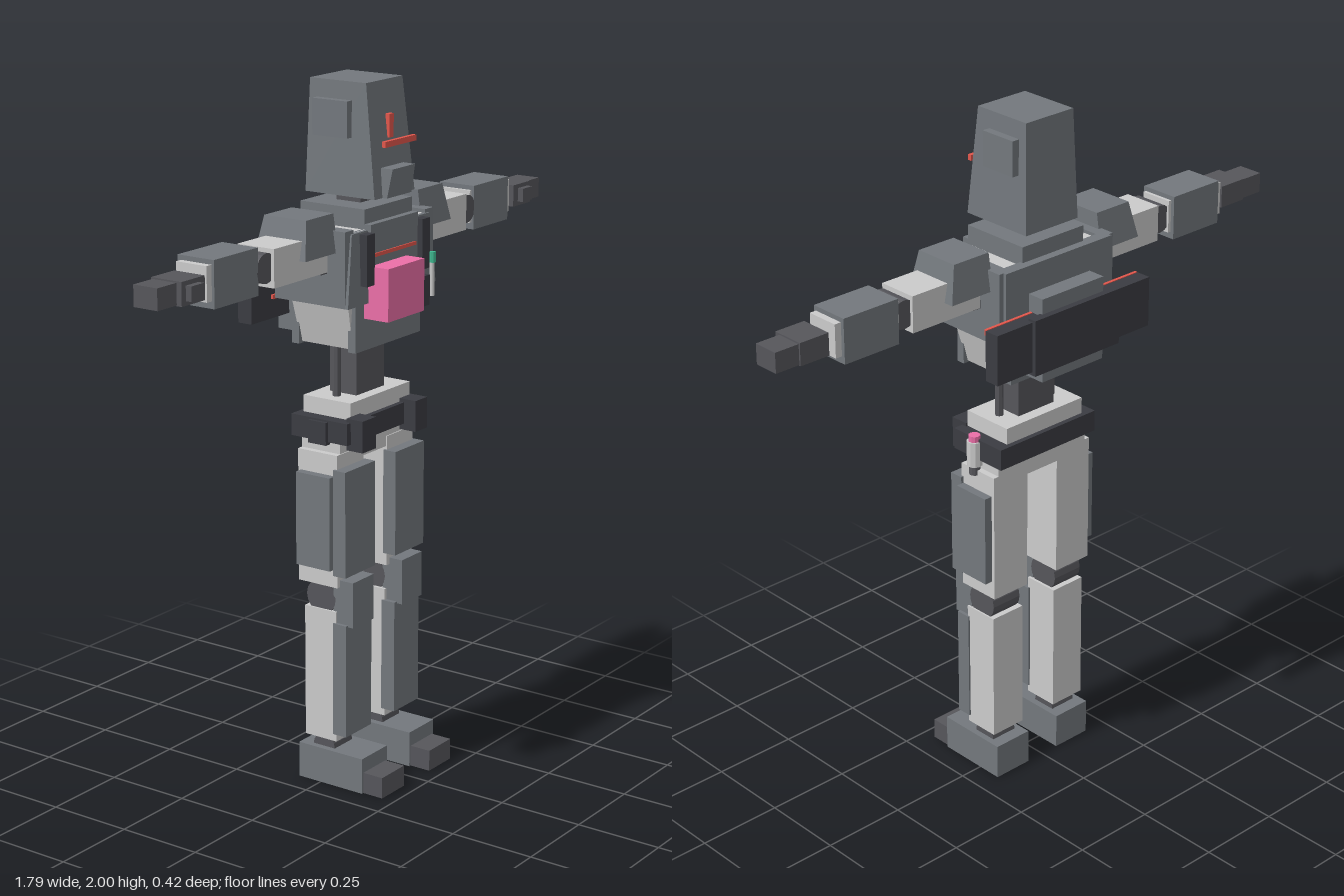
import * as THREE from 'three';

const mat = (color) => new THREE.MeshStandardMaterial({ color, flatShading: true });
const LIGHT = mat(0xcccccc), PLATE = mat(0x73787d), DARK = mat(0x56565b), BLACK = mat(0x3b3c42);
const RED = mat(0xe2574c), PINK = mat(0xec6fa8), GREEN = mat(0x3fb890);

export function createModel() {
  const model = new THREE.Group();
  model.name = 'robot';

  const add = (parent, name, geometry, material) => {
    const mesh = new THREE.Mesh(geometry, material);
    mesh.name = name;
    parent.add(mesh);
    return mesh;
  };

  // Box given by its limits on each axis
  const box = (parent, name, material, [x0, x1], [y0, y1], [z0, z1]) => {
    const g = new THREE.BoxGeometry(x1 - x0, y1 - y0, z1 - z0);
    g.translate((x0 + x1) / 2, (y0 + y1) / 2, (z0 + z1) / 2);
    return add(parent, name, g, material);
  };

  // Box whose top has its own x and z limits
  const taper = (parent, name, material, xb, xt, [y0, y1], zb, zt) => {
    const g = new THREE.BoxGeometry(2, 2, 2);
    const p = g.attributes.position;
    for (let i = 0; i < p.count; i++) {
      const top = p.getY(i) > 0;
      const x = (top ? xt : xb)[p.getX(i) > 0 ? 1 : 0];
      const z = (top ? zt : zb)[p.getZ(i) > 0 ? 1 : 0];
      p.setXYZ(i, x, top ? y1 : y0, z);
    }
    g.computeVertexNormals();
    return add(parent, name, g, material);
  };

  // Cylinder along the named axis
  const rod = (parent, name, material, r, length, axis, [x, y, z], sides = 16) => {
    const g = new THREE.CylinderGeometry(r, r, length, sides);
    if (axis === 'x') g.rotateZ(Math.PI / 2);
    if (axis === 'z') g.rotateX(Math.PI / 2);
    g.translate(x, y, z);
    return add(parent, name, g, material);
  };

  const group = (name) => {
    const g = new THREE.Group();
    g.name = name;
    model.add(g);
    return g;
  };

  // Limits of a part on side s, measured outward from the centre
  const out = (s, a, b) => (s > 0 ? [a, b] : [-b, -a]);

  // Head
  const head = group('head');
  taper(head, 'helmet', PLATE, [-0.095, 0.095], [-0.085, 0.085], [1.69, 2], [-0.105, 0.125], [-0.095, 0.09]);
  taper(head, 'mouthGuard', PLATE, [-0.058, 0.058], [-0.053, 0.053], [1.69, 1.77], [0.08, 0.14], [0.08, 0.155]);
  box(head, 'visor', RED, [-0.073, 0.073], [1.83, 1.846], [0.133, 0.145]);
  box(head, 'browStripe', RED, [-0.01, 0.01], [1.846, 1.91], [0.09, 0.114]);
  for (const s of [-1, 1]) box(head, 'earPanel', PLATE, out(s, 0.075, 0.11), [1.85, 1.95], [-0.07, 0.045]);
  box(head, 'neck', DARK, [-0.04, 0.04], [1.64, 1.7], [-0.04, 0.04]);

  // Chest
  const torso = group('torso');
  box(torso, 'chestCore', LIGHT, [-0.18, 0.18], [1.41, 1.61], [-0.115, 0.105]);
  taper(torso, 'ribs', LIGHT, [-0.14, 0.14], [-0.175, 0.175], [1.28, 1.41], [-0.09, 0.085], [-0.095, 0.095]);
  taper(torso, 'chestPlate', PLATE, [-0.21, 0.21], [-0.185, 0.185], [1.41, 1.61], [0.095, 0.12], [0.095, 0.115]);
  box(torso, 'backPlate', PLATE, [-0.195, 0.195], [1.41, 1.62], [-0.135, -0.1]);
  box(torso, 'bellyPlate', PLATE, [-0.155, 0.155], [1.275, 1.41], [0.08, 0.105]);
  box(torso, 'lowerBackPlate', PLATE, [-0.155, 0.155], [1.275, 1.41], [-0.11, -0.085]);
  box(torso, 'collar', PLATE, [-0.112, 0.112], [1.59, 1.665], [-0.11, 0.105]);
  box(torso, 'breastPlate', PLATE, [-0.112, 0.112], [1.46, 1.625], [0.1, 0.125]);
  box(torso, 'chestStripe', RED, [-0.1, 0.1], [1.535, 1.545], [0.12, 0.129]);
  for (const s of [-1, 1]) {
    box(torso, 'sidePlate', PLATE, out(s, 0.17, 0.21), [1.41, 1.62], [-0.125, 0.11]);
    box(torso, 'strap', BLACK, out(s, 0.113, 0.15), [1.463, 1.605], [0.1, 0.14]);
  }

  // Chest gear
  box(torso, 'chestPack', PINK, [-0.115, 0.057], [1.365, 1.512], [0.1, 0.185]);
  box(torso, 'chestPouch', BLACK, [0.058, 0.107], [1.37, 1.455], [0.1, 0.17]);
  rod(torso, 'lightStick', LIGHT, 0.007, 0.1, 'y', [0.147, 1.435, 0.15], 8);
  rod(torso, 'stickTip', GREEN, 0.009, 0.03, 'y', [0.147, 1.495, 0.152], 8);

  // Backpack
  const pack = group('backpack');
  box(pack, 'packBody', PLATE, [-0.113, 0.113], [1.297, 1.54], [-0.188, -0.12]);
  box(pack, 'packWing', BLACK, [-0.283, 0.283], [1.345, 1.49], [-0.196, -0.15]);
  box(pack, 'packCover', BLACK, [-0.157, 0.157], [1.335, 1.497], [-0.207, -0.18]);
  for (const s of [-1, 1]) {
    box(pack, 'wingStripe', RED, out(s, 0.115, 0.281), [1.475, 1.492], [-0.152, -0.143]);
    box(pack, 'wingMark', RED, out(s, 0.16, 0.195), [1.4, 1.412], [-0.152, -0.143]);
  }

  // Waist and hips
  const hips = group('hips');
  box(hips, 'waist', DARK, [-0.066, 0.066], [1.11, 1.29], [-0.045, 0.045]);
  for (const s of [-1, 1]) rod(hips, 'waistPiston', DARK, 0.012, 0.18, 'y', [s * 0.097, 1.2, 0], 8);
  box(hips, 'hipBlock', LIGHT, [-0.143, 0.143], [1.07, 1.128], [-0.08, 0.08]);
  box(hips, 'belt', BLACK, [-0.18, 0.18], [1.018, 1.08], [-0.095, 0.095]);
  box(hips, 'pelvis', LIGHT, [-0.165, 0.165], [0.955, 1.02], [-0.07, 0.06]);
  box(hips, 'beltPouch', BLACK, [-0.163, -0.1], [1, 1.09], [0.08, 0.135]);
  box(hips, 'beltPouch', BLACK, [0.093, 0.15], [1, 1.09], [0.08, 0.135]);
  rod(hips, 'canister', LIGHT, 0.022, 0.075, 'y', [0.18, 1.035, 0.012], 10);
  rod(hips, 'canisterCap', PINK, 0.017, 0.02, 'y', [0.18, 1.08, 0.012], 10);
  rod(hips, 'canisterBase', DARK, 0.016, 0.03, 'y', [0.18, 0.985, 0.012], 10);
  box(hips, 'hipHolder', BLACK, [-0.19, -0.17], [1.01, 1.075], [-0.03, 0.03]);

  for (const s of [-1, 1]) {
    // Arm
    const arm = group(s > 0 ? 'leftArm' : 'rightArm');
    const x = (a, b) => out(s, a, b);
    taper(arm, 'shoulderPad', PLATE, x(0.2, 0.345), x(0.2, 0.322), [1.56, 1.665], [-0.09, 0.08], [-0.073, 0.065]);
    box(arm, 'shoulderJoint', DARK, x(0.19, 0.235), [1.5, 1.57], [-0.05, 0.05]);
    box(arm, 'upperArm', LIGHT, x(0.22, 0.455), [1.507, 1.612], [-0.06, 0.06]);
    rod(arm, 'elbow', DARK, 0.041, 0.1, 'z', [s * 0.475, 1.563, 0]);
    box(arm, 'forearmCore', LIGHT, x(0.5, 0.712), [1.517, 1.612], [-0.057, 0.042]);
    box(arm, 'forearmPlate', PLATE, x(0.51, 0.692), [1.497, 1.625], [-0.068, 0.05]);
    box(arm, 'wrist', DARK, x(0.7, 0.735), [1.545, 1.58], [-0.02, 0.02]);
    box(arm, 'hand', DARK, x(0.727, 0.82), [1.528, 1.592], [-0.05, 0.048]);
    box(arm, 'fingers', DARK, x(0.815, 0.895), [1.53, 1.588], [-0.045, 0.032]);
    box(arm, 'thumb', DARK, x(0.752, 0.803), [1.54, 1.58], [0.03, 0.066]);

    // Leg
    const leg = group(s > 0 ? 'leftLeg' : 'rightLeg');
    box(leg, 'thigh', LIGHT, x(0.057, 0.183), [0.6, 0.985], [-0.07, 0.063]);
    box(leg, 'thighPlate', PLATE, x(0.05, 0.192), [0.638, 0.945], [0.055, 0.097]);
    box(leg, 'thighSidePlate', PLATE, x(0.17, 0.208), [0.655, 0.925], [-0.06, 0.055]);
    rod(leg, 'knee', DARK, 0.05, 0.1, 'x', [s * 0.12, 0.56, -0.002]);
    box(leg, 'kneePlate', PLATE, x(0.07, 0.17), [0.487, 0.62], [0.04, 0.107]);
    box(leg, 'shin', LIGHT, x(0.062, 0.175), [0.135, 0.525], [-0.055, 0.053]);
    box(leg, 'shinPlate', PLATE, x(0.057, 0.18), [0.158, 0.492], [0.045, 0.09]);
    rod(leg, 'ankle', DARK, 0.037, 0.085, 'x', [s * 0.119, 0.105, 0]);
    box(leg, 'foot', PLATE, x(0.057, 0.18), [0, 0.105], [-0.075, 0.145]);
    box(leg, 'toe', DARK, x(0.064, 0.173), [0, 0.062], [0.14, 0.21]);
  }

  return model;
}
